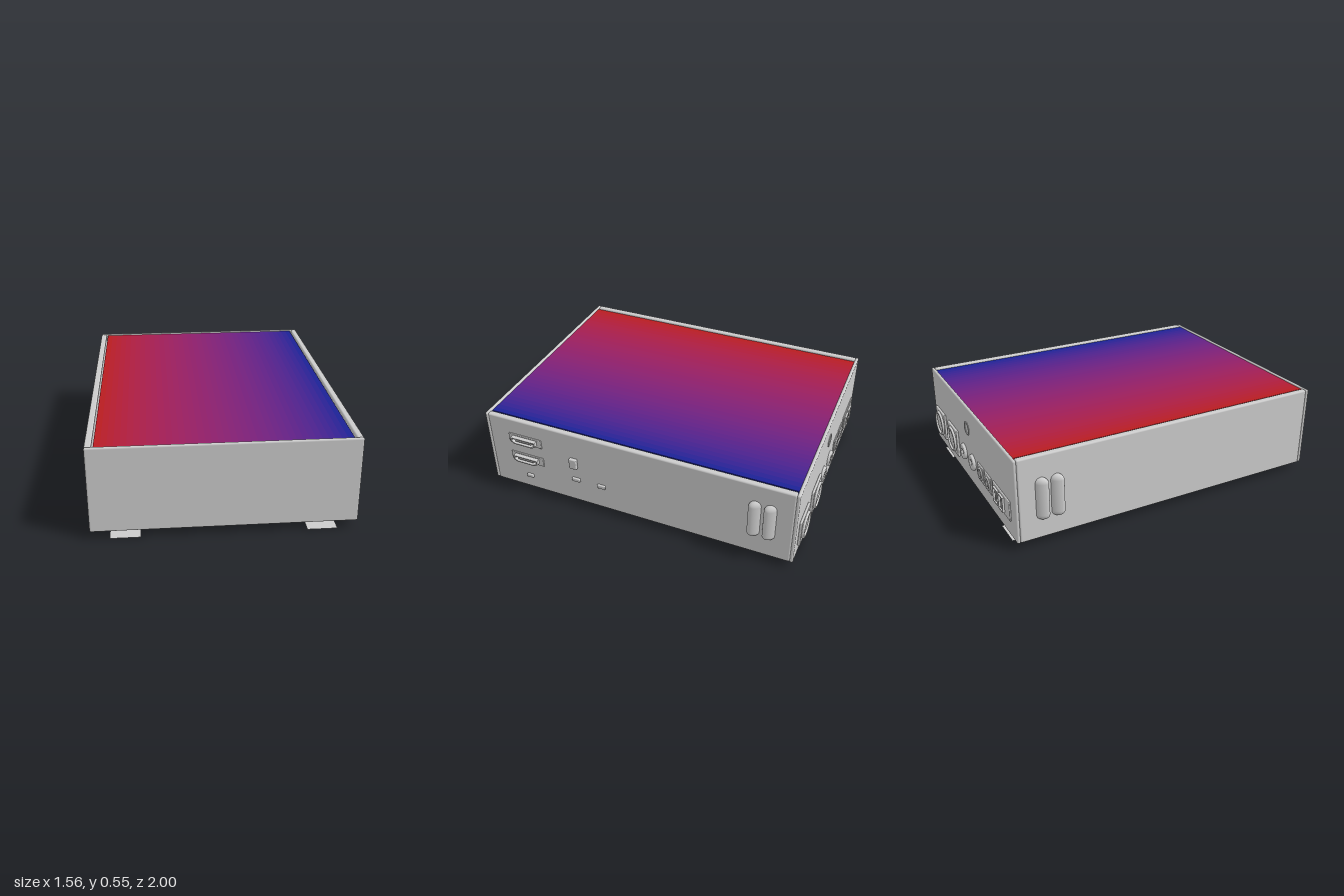
import * as THREE from 'three';
import { mergeGeometries } from 'three/addons/utils/BufferGeometryUtils.js';
import { RoundedBoxGeometry } from 'three/addons/geometries/RoundedBoxGeometry.js';

const grey = new THREE.MeshStandardMaterial({ color: 0xcccccc });
const greyThin = new THREE.MeshStandardMaterial({ color: 0xcccccc, side: THREE.DoubleSide });

function add(parent, name, geometry, x = 0, y = 0, z = 0, material = grey) {
  const mesh = new THREE.Mesh(geometry, material);
  mesh.name = name;
  mesh.position.set(x, y, z);
  parent.add(mesh);
  return mesh;
}

// Rounded block standing on the local z = 0 plane
const pad = (w, h, d, r = 0.006) =>
  new RoundedBoxGeometry(w, h, d, 2, Math.min(r, d / 2)).translate(0, 0, d / 2);

// Hollow round collar, turned about local z
const collar = (outer, inner, depth) => new THREE.LatheGeometry(
  [[outer, 0], [outer, depth - 0.005], [outer - 0.005, depth], [inner, depth], [inner, 0]]
    .map(([r, h]) => new THREE.Vector2(r, h)), 32).rotateX(Math.PI / 2);

const disc = (r, d) => new THREE.CylinderGeometry(r, r, d, 32).rotateX(Math.PI / 2).translate(0, 0, d / 2);

// Thin shell of a socket mouth: tapered outline with a matching hole
function mouth(w, h, depth, wall, taper) {
  const outline = (Type, o) => {
    const a = w / 2 - o, b = h / 2 - o, t = taper;
    const p = new Type();
    p.moveTo(-a + t, -b);
    p.lineTo(a - t, -b);
    p.lineTo(a, -b + t * 0.6);
    p.lineTo(a, b);
    p.lineTo(-a, b);
    p.lineTo(-a, -b + t * 0.6);
    p.closePath();
    return p;
  };
  const shape = outline(THREE.Shape, 0);
  shape.holes.push(outline(THREE.Path, wall));
  return new THREE.ExtrudeGeometry(shape, { depth, bevelEnabled: false });
}

// Mounting groups: local +z points out of the chosen wall
function mount(root, name, wall, u, y) {
  const g = new THREE.Group();
  g.name = name;
  if (wall === 'back') {
    g.position.set(u, y, -0.97);
    g.rotation.y = Math.PI;
  } else {
    g.position.set(0.744, y, u);
    g.rotation.y = Math.PI / 2;
  }
  root.add(g);
  return g;
}

export function createModel() {
  const root = new THREE.Group();
  root.name = 'deviceCase';

  // Case walls
  add(root, 'frontPlate', new RoundedBoxGeometry(1.485, 0.508, 0.022, 3, 0.01), 0.002, 0.3, 0.989);
  add(root, 'backPlate', new RoundedBoxGeometry(1.485, 0.508, 0.02, 3, 0.009), 0.002, 0.3, -0.96);
  for (const s of [-1, 1])
    add(root, 'sideWall', new RoundedBoxGeometry(0.038, 0.508, 1.93, 3, 0.01), 0.002 + s * 0.7235, 0.3, 0.014);

  // Core filling the case, fading from red to blue in narrow strips
  const core = new THREE.Group();
  core.name = 'gradientCore';
  root.add(core);
  const red = new THREE.Color(0xb81c20), blue = new THREE.Color(0x1c2296);
  const strips = 40, width = 1.39 / strips;
  for (let i = 0; i < strips; i++) {
    const material = new THREE.MeshStandardMaterial();
    material.color.lerpColors(red, blue, i / (strips - 1));
    add(core, 'coreStrip', new THREE.BoxGeometry(width, 0.492, 1.927),
      -0.693 + (i + 0.5) * width, 0.3, 0.0135, material);
  }

  // Feet: thin bent sheets facing inward, open at both ends
  const footGeo = mergeGeometries([
    new THREE.PlaneGeometry(0.17, 0.05).translate(0, 0.025, -0.05),
    new THREE.PlaneGeometry(0.17, 0.05).rotateY(Math.PI).translate(0, 0.025, 0.05),
    new THREE.PlaneGeometry(0.17, 0.1).rotateX(-Math.PI / 2),
  ]);
  for (const x of [-0.548, 0.548])
    for (const z of [-0.91, 0.948]) add(root, 'foot', footGeo, x, 0.001, z);

  // Louvred vents on both sides: outer half of a capsule, leaning forward
  for (const s of [-1, 1]) {
    const louvre = new THREE.CapsuleGeometry(0.034, 0.19, 8, 24);
    const p = louvre.attributes.position;
    for (let i = 0; i < p.count; i++) {
      const out = Math.max(0, s * p.getX(i));
      p.setXYZ(i, s * out, p.getY(i), p.getZ(i) + out * 0.5);
    }
    louvre.computeVertexNormals();
    for (const z of [-0.82, -0.73])
      add(root, 'ventLouvre', louvre, s * 0.742, s > 0 ? 0.31 : 0.295, z, greyThin);
  }

  // Side wall: two wide sockets, a switch and small keys
  for (const y of [0.422, 0.283]) {
    const g = mount(root, 'wideSocket', 'side', 0.73, y);
    add(g, 'socketBase', pad(0.225, 0.062, 0.01));
    add(g, 'socketShell', mouth(0.165, 0.042, 0.036, 0.006, 0.022));
    add(g, 'socketTongue', pad(0.11, 0.01, 0.03, 0.003));
  }
  const keys = [[0.405, 0.348, 0.05, 0.072, 0.023], [0.397, 0.222, 0.055, 0.027, 0.016],
    [0.227, 0.222, 0.055, 0.027, 0.016], [0.728, 0.148, 0.045, 0.025, 0.016]];
  for (const [z, y, w, h, d] of keys)
    add(mount(root, 'sideKey', 'side', z, y), 'keyCap', pad(w, h, d));

  // Back plate: large round connectors
  for (const x of [0.585, 0.32]) {
    const g = mount(root, 'largeConnector', 'back', x, 0.215);
    add(g, 'connectorPlate', pad(0.19, 0.18, 0.016));
    add(g, 'connectorCollar', collar(0.082, 0.068, 0.03), 0, 0, 0, greyThin);
    add(g, 'connectorFace', new THREE.SphereGeometry(0.068, 32, 8, 0, Math.PI * 2, 0, Math.PI / 2)
      .scale(1, 0.2, 1).rotateX(Math.PI / 2), 0, 0, 0.014);
  }

  // Back plate: round jacks
  for (const x of [0.12, -0.045]) {
    const g = mount(root, 'roundJack', 'back', x, 0.215);
    add(g, 'jackCollar', collar(0.05, 0.02, 0.018), 0, 0, 0, greyThin);
    add(g, 'jackSeat', disc(0.022, 0.005));
  }

  // Back plate: square sockets
  for (const x of [-0.2, -0.325]) {
    const g = mount(root, 'squareSocket', 'back', x, 0.215);
    add(g, 'socketFrame', pad(0.105, 0.11, 0.01));
    add(g, 'socketRim', collar(0.042, 0.028, 0.017), 0, 0, 0, greyThin);
    add(g, 'socketPin', disc(0.02, 0.017));
  }

  // Back plate: data port panel with two upright ports
  const panel = mount(root, 'portPanel', 'back', -0.54, 0.215);
  add(panel, 'panelPlate', pad(0.26, 0.125, 0.01));
  for (const x of [0.02, -0.065]) {
    add(panel, 'portShell', mouth(0.07, 0.095, 0.022, 0.006, 0.004), x, 0, 0);
    add(panel, 'portTongue', pad(0.02, 0.07, 0.018, 0.003), x, 0, 0);
  }

  // Back plate: power button ring
  const power = mount(root, 'powerButton', 'back', 0.03, 0.41);
  add(power, 'buttonRing', new THREE.TorusGeometry(0.038, 0.005, 8, 32));

  return root;
}
